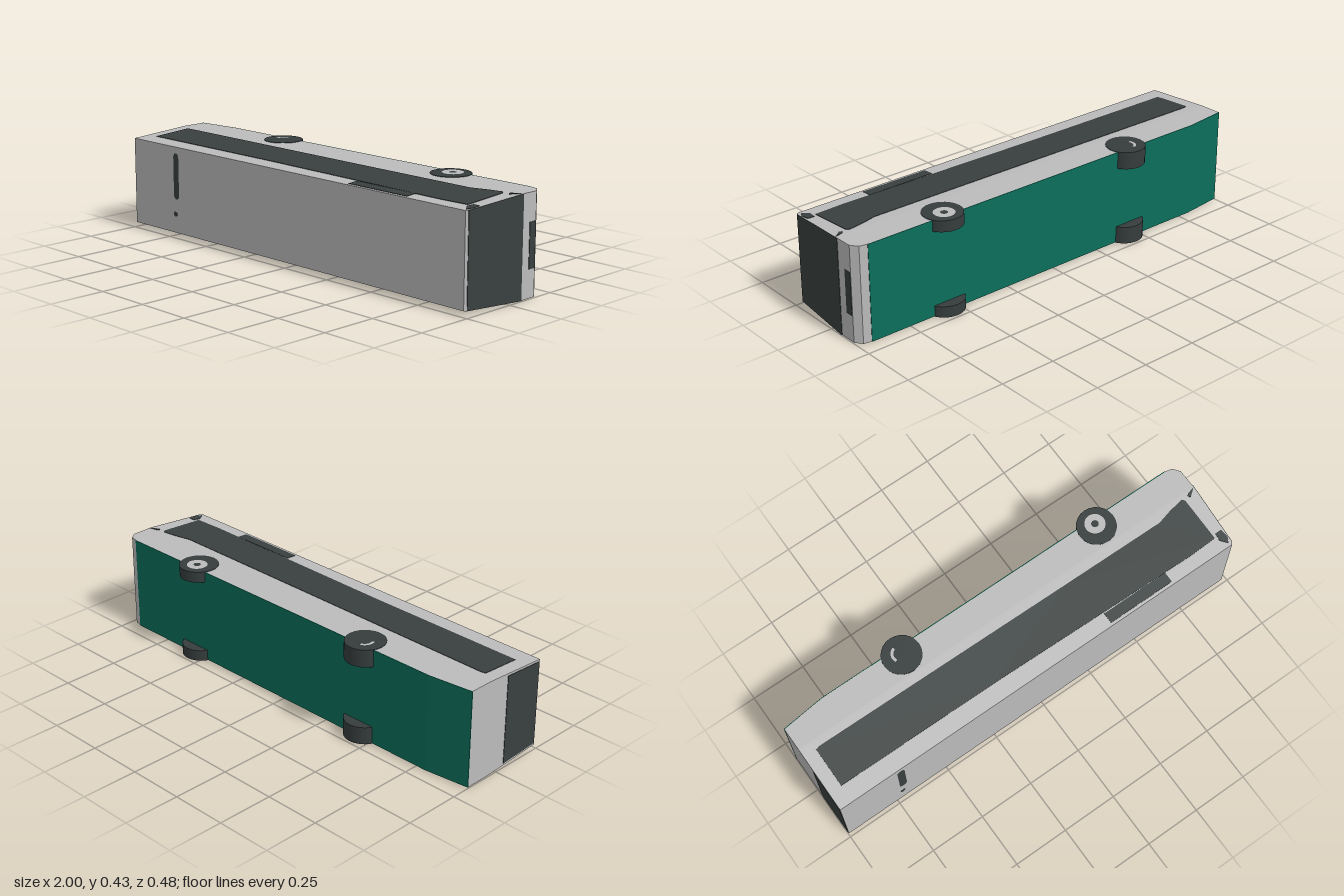
import * as THREE from 'three';

const MID = 0.215, HALF = 0.213; // side-to-side centre and half width (along y)

const paint = (name, color) => {
  const m = new THREE.MeshStandardMaterial({ color });
  m.name = name;
  return m;
};

export function createModel() {
  const grey = paint('bodyGrey', 0xbcbcbc);
  const dark = paint('glassDark', 0x39403f);
  const tyre = paint('tyreDark', 0x363c3d);
  const green = paint('underbodyGreen', 0x0c6e5a);

  const model = new THREE.Group();
  model.name = 'bus';

  const add = (name, geometry, material, x = 0, y = 0, z = 0) => {
    const mesh = new THREE.Mesh(geometry, material);
    mesh.name = name;
    mesh.position.set(x, y, z);
    model.add(mesh);
    return mesh;
  };

  // Profile of [x, z] points swept along y; the sides lean in toward the roof (+z)
  const prism = (name, points, y0, y1, material) => {
    const shape = new THREE.Shape(points.map(p => new THREE.Vector2(...p)));
    const g = new THREE.ExtrudeGeometry(shape, { depth: y1 - y0, bevelEnabled: false });
    g.rotateX(Math.PI / 2).translate(0, y1, 0);
    const p = g.attributes.position;
    for (let i = 0; i < p.count; i++) {
      const t = THREE.MathUtils.clamp((p.getZ(i) + 0.06) / 0.3, 0, 1);
      p.setY(i, MID + (p.getY(i) - MID) * (1 - 0.086 * t));
    }
    g.computeVertexNormals();
    return add(name, g, material);
  };
  const rect = (x0, x1, z0, z1) => [[x0, z0], [x1, z0], [x1, z1], [x0, z1]];
  const sidePlate = (name, points, side, material = dark) => {
    const inner = MID + side * (HALF - 0.003), outer = MID + side * (HALF + 0.002);
    prism(name, points, Math.min(inner, outer), Math.max(inner, outer), material);
  };

  // Body: straight lower half and tapered upper half
  const yA = MID - HALF, yB = MID + HALF;
  prism('lowerBody', [[-0.998, -0.06], [-0.998, -0.165], [-0.8, -0.188], [0.94, -0.188],
    [0.975, -0.181], [0.998, -0.15], [0.998, -0.06]], yA, yB, grey);
  prism('upperBody', [[-0.998, -0.06], [0.998, -0.06], [0.98, 0.228], [0.974, 0.239],
    [-0.998, 0.239]], yA, yB, grey);

  // Green underside, rising at the tail
  prism('underside', [[-0.999, -0.164], [-0.999, -0.167], [-0.8, -0.19], [0.94, -0.19],
    [0.94, -0.186], [-0.8, -0.186]], yA, yB, green);

  // Windscreen, front grille and rear window
  prism('windscreen', [[0.977, 0.228], [0.982, 0.228], [1, -0.06], [1, -0.071],
    [0.995, -0.071]], yA, yB, dark);
  add('frontGrille', new THREE.BoxGeometry(0.004, 0.19, 0.036), dark, 0.998, 0.215, -0.13);
  prism('rearWindow', rect(-1, -0.996, 0.045, 0.236), 0.012, 0.418, dark);

  // Side without doors: window band, destination sign and corner details
  sidePlate('leftWindowBand', [[-0.94, -0.02], [-0.92, -0.025], [0.3, -0.015], [0.78, -0.012],
    [0.85, -0.03], [0.92, -0.042], [0.93, -0.03], [0.93, 0.175], [0.8, 0.18], [-0.2, 0.162],
    [-0.94, 0.16]], 1);
  sidePlate('leftSign', rect(0.35, 0.665, 0.178, 0.226), 1);
  sidePlate('leftUpperCorner', [[0.945, 0.16], [0.975, 0.16], [0.979, 0.2], [0.965, 0.225],
    [0.94, 0.195]], 1);
  sidePlate('leftLowerCorner', [[0.95, -0.04], [0.96, -0.03], [0.996, -0.059],
    [0.96, -0.05]], 1);

  // Door side: window band with three doors below it
  sidePlate('rightWindowBand', rect(-0.94, 0.94, -0.01, 0.172), -1);
  for (const [x0, x1] of [[-0.83, -0.62], [0, 0.2], [0.72, 0.93]]) {
    sidePlate('doorGlass', rect(x0, x1, -0.06, -0.01), -1);
    sidePlate('doorPanel', [[x0, -0.06], [x0, -0.155], [x0 + 0.02, -0.172], [x1 - 0.02, -0.172],
      [x1, -0.155], [x1, -0.06]], -1);
  }

  // Roof hatch and vent
  add('roofHatch', new THREE.CapsuleGeometry(0.02, 0.175, 4, 12).scale(1, 1, 0.1), dark,
    -0.71, 0.277, 0.238);
  add('roofVent', new THREE.CylinderGeometry(0.012, 0.012, 0.004, 12).rotateX(Math.PI / 2), dark,
    -0.718, 0.105, 0.238);

  // Wheels: narrow at the front, wide at the rear, with pale hub details
  for (const side of [-1, 1]) {
    for (const [name, x, width] of [['rearWheel', -0.435, 0.077], ['frontWheel', 0.555, 0.049]]) {
      const front = x > 0;
      add(name, new THREE.CylinderGeometry(0.086, 0.086, width, 24), tyre,
        x, MID + side * (MID - width / 2), -0.154);
      if (!front && side < 0) continue;
      const hub = front
        ? new THREE.RingGeometry(0.016, 0.045, 24)
        : new THREE.RingGeometry(0.03, 0.042, 12, 1, Math.PI * 0.6, Math.PI * 0.55);
      hub.rotateX(-side * Math.PI / 2);
      add(name + 'Hub', hub, grey, x, MID + side * (MID + 0.001), front ? -0.165 : -0.16);
    }
  }

  return model;
}
